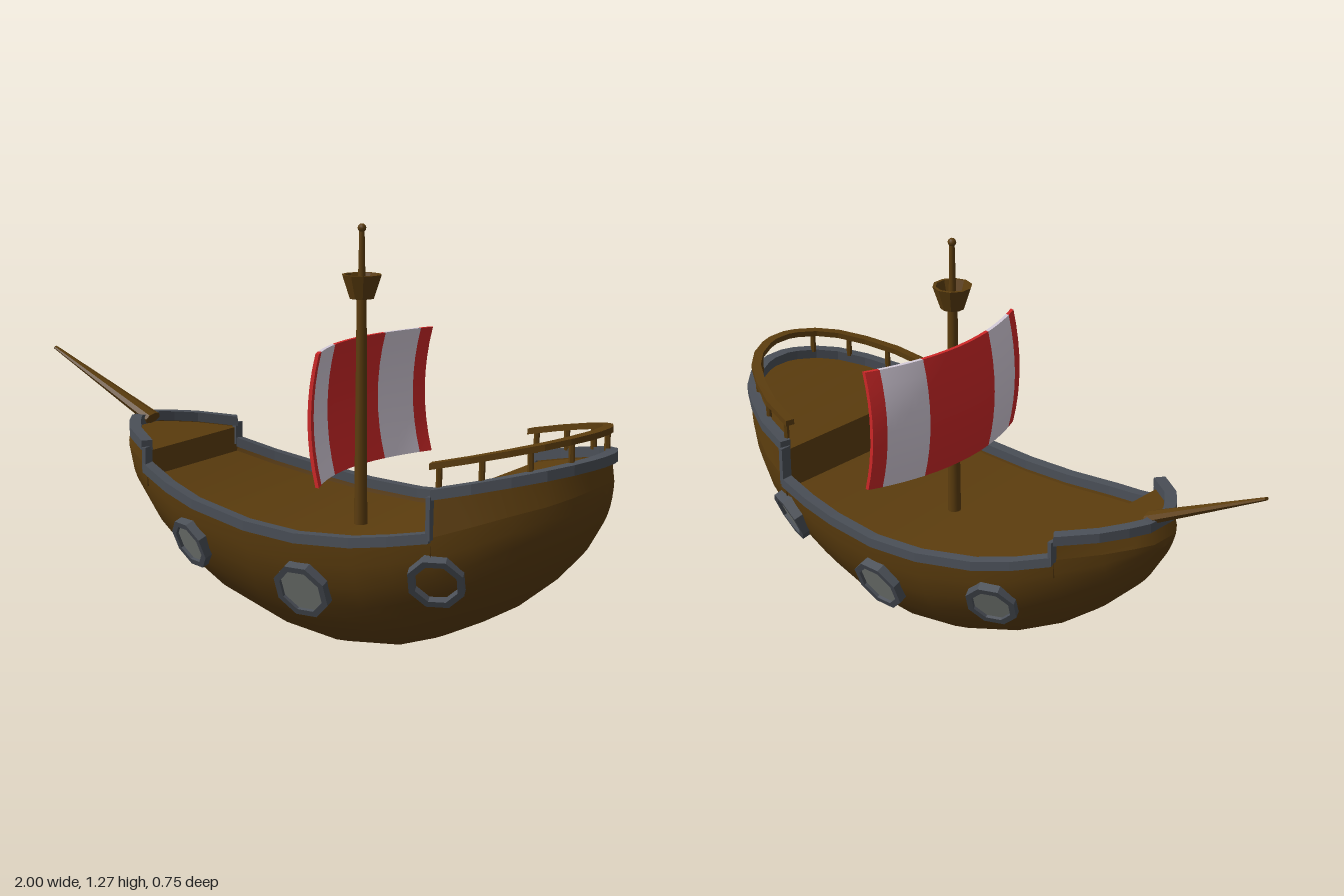
import * as THREE from 'three';

const mat = (color, flatShading = false) =>
  new THREE.MeshStandardMaterial({ color, flatShading, side: THREE.DoubleSide });
const V = (x, y, z) => new THREE.Vector3(x, y, z);

// Hull stations from bow to stern: x, keel height, sheer height, half width
const STATIONS = [
  [-0.655, 0.535, 0.56, 0.05], [-0.62, 0.46, 0.553, 0.1], [-0.56, 0.37, 0.54, 0.165],
  [-0.44, 0.255, 0.51, 0.245], [-0.32, 0.165, 0.47, 0.29], [-0.2, 0.1, 0.44, 0.325],
  [0, 0.03, 0.405, 0.35], [0.18, 0.003, 0.392, 0.358], [0.36, 0.02, 0.4, 0.35],
  [0.48, 0.06, 0.418, 0.343], [0.605, 0.12, 0.44, 0.325], [0.72, 0.185, 0.48, 0.298],
  [0.82, 0.265, 0.515, 0.25], [0.9, 0.35, 0.54, 0.195], [0.95, 0.43, 0.56, 0.135],
  [0.98, 0.5, 0.575, 0.07], [0.99, 0.55, 0.58, 0.03],
];
const BOW = STATIONS.slice(0, 4), MID = STATIONS.slice(3, 11), STERN = STATIONS.slice(10);

// Interpolated station at any x
function stationAt(x) {
  const i = Math.max(1, STATIONS.findIndex(s => s[0] >= x));
  const a = STATIONS[i - 1], b = STATIONS[i], t = (x - a[0]) / (b[0] - a[0]);
  return a.map((v, k) => v + (b[k] - v) * t);
}

// Surface through rows of points
function loft(rows) {
  const n = rows[0].length, index = [];
  for (let i = 0; i < rows.length - 1; i++)
    for (let j = 0; j < n - 1; j++) {
      const a = i * n + j, b = a + n;
      index.push(a, b, a + 1, b, b + 1, a + 1);
    }
  const g = new THREE.BufferGeometry().setFromPoints(rows.flat());
  g.setIndex(index);
  g.computeVertexNormals();
  return g;
}

// Rectangular bar following a path, kept level across its width
function bar(path, w, h) {
  const rings = path.map((p, i) => {
    const t = path[Math.min(i + 1, path.length - 1)].clone().sub(path[Math.max(i - 1, 0)]);
    const s = V(-t.z, 0, t.x).normalize().multiplyScalar(w / 2);
    return [[1, 1], [1, -1], [-1, -1], [-1, 1], [1, 1]].map(
      ([a, b]) => p.clone().addScaledVector(s, a).add(V(0, b * h / 2, 0)));
  });
  const cap = r => r.map(() => r[0].clone().add(r[2]).multiplyScalar(0.5));
  return loft([cap(rings[0]), ...rings, cap(rings[rings.length - 1])]);
}

// Top edge of the raised bow and stern
const bowTop = ([x, , , w]) => {
  const t = (-0.44 - x) / 0.215;
  return V(x + 0.03 * t, 0.59 + 0.03 * t, w);
};
const sternTop = ([x, , , w]) => V(x - 0.01 * (x - 0.605) / 0.385, 0.575 + 0.22 * (x - 0.605), w * 0.985);
const flip = p => V(p.x, p.y, -p.z);
// Horseshoe path: one side, around the end, back along the other side
const horseshoe = pts => [...pts, ...pts.slice().reverse().map(flip)];

export function createModel() {
  const ship = new THREE.Group();
  ship.name = 'sailingShip';
  const wood = mat(0x5c3d0e), woodFlat = mat(0x5c3d0e, true), trim = mat(0x4a4f57, true);
  const glass = mat(0x7c807c, true), red = mat(0xd02828), white = mat(0xd6cddb);
  const add = (name, geo, material, parent = ship) => {
    const m = new THREE.Mesh(geo, material);
    m.name = name;
    parent.add(m);
    return m;
  };

  // Hull with half-elliptical sections, closed at both ends
  const section = ([x, k, s, w]) => Array.from({ length: 17 }, (_, i) => {
    const a = (i / 16 - 0.5) * Math.PI;
    return V(x, s - (s - k) * Math.cos(a), w * Math.sin(a));
  });
  const endCap = ([x, k, s]) => section([x, k, s, 0]);
  add('hull', loft([endCap(STATIONS[0]), ...STATIONS.map(section), endCap(STATIONS.at(-1))]), wood);

  // Raised bulwarks, decks, bulkheads and trim of bow and stern
  const ends = [
    ['bow', BOW.slice().reverse(), bowTop, -0.44],
    ['stern', STERN, sternTop, 0.605],
  ];
  for (const [name, stations, topOf, x] of ends) {
    const tops = stations.map(topOf);
    const base = stations.map(([sx, , s, w]) => V(sx, s, w));
    add(name + 'Bulwark', loft([horseshoe(base), horseshoe(tops)]), wood);
    add(name + 'Trim', bar(horseshoe(tops).map(p => p.add(V(0, -0.01, 0))), 0.036, 0.03), trim);
    const deck = stations.map(topOf).map(p => p.add(V(0, -0.03, 0)));
    add(name + 'Deck', loft([deck, deck.map(flip)]), woodFlat);
    const [, , s, w] = stations[0], y = deck[0].y;
    add(name + 'Bulkhead', loft([[V(x, s - 0.06, w), V(x, y, w)], [V(x, s - 0.06, -w), V(x, y, -w)]]), woodFlat);
    // Upright trim at the step
    for (const side of [1, -1])
      add(name + 'StepTrim', new THREE.BoxGeometry(0.014, tops[0].y - s, 0.036), trim)
        .position.set(x, (tops[0].y + s) / 2 - 0.005, side * w);
  }

  // Main deck and low rim amidships
  const deckEdge = MID.map(([x, , s, w]) => V(x, s - 0.03, w * 0.985));
  add('mainDeck', loft([deckEdge, deckEdge.map(flip)]), wood);
  for (const side of [1, -1])
    add('rim', bar(MID.map(([x, , s, w]) => V(x, s + 0.002, side * w)), 0.036, 0.03), trim);

  // Stern railing
  const railPath = STERN.map(sternTop).map(p => V(p.x - 0.012, p.y + 0.067, p.z * 0.96));
  add('handrail', bar(horseshoe(railPath), 0.03, 0.018), woodFlat);
  for (const px of [0.63, 0.75, 0.87, 0.955])
    for (const side of [1, -1]) {
      const p = sternTop(stationAt(px));
      add('railPost', new THREE.CylinderGeometry(0.009, 0.009, 0.07, 6), woodFlat)
        .position.set(p.x - 0.012, p.y + 0.033, side * p.z * 0.96);
    }

  // Portholes set on the hull along its surface normal
  const surface = (x, y) => {
    const [, k, s, w] = stationAt(x);
    return V(x, y, w * Math.sqrt(Math.max(0, 1 - ((s - y) / (s - k)) ** 2)));
  };
  for (const [x, y, r] of [[-0.24, 0.31, 0.07], [0.185, 0.235, 0.08], [0.61, 0.31, 0.074]])
    for (const side of [1, -1]) {
      const dx = surface(x + 0.05, y).sub(surface(x - 0.05, y));
      const dy = surface(x, y + 0.05).sub(surface(x, y - 0.05));
      const n = dx.cross(dy).normalize(), p = surface(x, y);
      if (side < 0) { n.z *= -1; p.z *= -1; }
      const port = new THREE.Group();
      port.name = 'porthole';
      port.position.copy(p);
      port.lookAt(p.clone().add(n));
      const ring = new THREE.Shape(), hole = new THREE.Path();
      for (const [path, rad] of [[ring, r + 0.012], [hole, r - 0.008]])
        path.setFromPoints(Array.from({ length: 8 }, (_, i) => {
          const a = (i + 0.5) * Math.PI / 4;
          return new THREE.Vector2(rad * Math.cos(a), rad * Math.sin(a));
        }));
      ring.holes.push(hole);
      const geo = new THREE.ExtrudeGeometry(ring, { depth: 0.035, bevelEnabled: false });
      add('portholeFrame', geo.translate(0, 0, -0.016), trim, port);
      // The aft left port is shuttered with hull planking
      if (!(x > 0.5 && side > 0))
        add('portholeGlass', new THREE.CircleGeometry(r, 8, Math.PI / 8).translate(0, 0, 0.009), glass, port);
      ship.add(port);
    }

  // Mast with crow's nest and finial
  add('mast', new THREE.CylinderGeometry(0.015, 0.021, 0.75, 10), wood).position.set(0.18, 0.715, 0);
  add('topMast', new THREE.CylinderGeometry(0.008, 0.012, 0.18, 10), wood).position.set(0.18, 1.17, 0);
  add('finial', new THREE.SphereGeometry(0.013, 10, 8), wood).position.set(0.18, 1.26, 0);
  const nest = [[0, 1.05], [0.037, 1.05], [0.061, 1.122], [0.051, 1.122], [0.036, 1.075], [0, 1.075]];
  add('crowsNest', new THREE.LatheGeometry(nest.map(p => new THREE.Vector2(...p)), 10), woodFlat)
    .position.set(0.18, 0, 0);

  // Bowsprit, slightly flattened
  const sprit = new THREE.Group();
  sprit.name = 'bowsprit';
  const from = V(-0.6, 0.61, 0), to = V(-0.995, 0.808, 0);
  add('bowspritSpar', new THREE.CylinderGeometry(0.009, 0.036, from.distanceTo(to), 8).scale(0.55, 1, 1), woodFlat, sprit);
  sprit.position.copy(from).lerp(to, 0.5);
  sprit.quaternion.setFromUnitVectors(V(0, 1, 0), to.clone().sub(from).normalize());
  ship.add(sprit);

  // Striped sail, bellied towards the bow
  const stripes = [[-0.33, -0.287, red], [-0.287, -0.145, white], [-0.145, 0.145, red],
    [0.145, 0.287, white], [0.287, 0.33, red]];
  for (const [z0, z1, material] of stripes) {
    const g = new THREE.BoxGeometry(0.012, 0.39, z1 - z0, 1, 8, 6).translate(0, 0, (z0 + z1) / 2);
    const p = g.attributes.position;
    for (let i = 0; i < p.count; i++) {
      const u = p.getZ(i) / 0.33, v = p.getY(i) / 0.195;
      p.setX(i, p.getX(i) + 0.131 + 0.075 * u * u + 0.027 * v * v);
    }
    g.computeVertexNormals();
    add('sailStripe', g, material).position.y = 0.735;
  }
  return ship;
}
